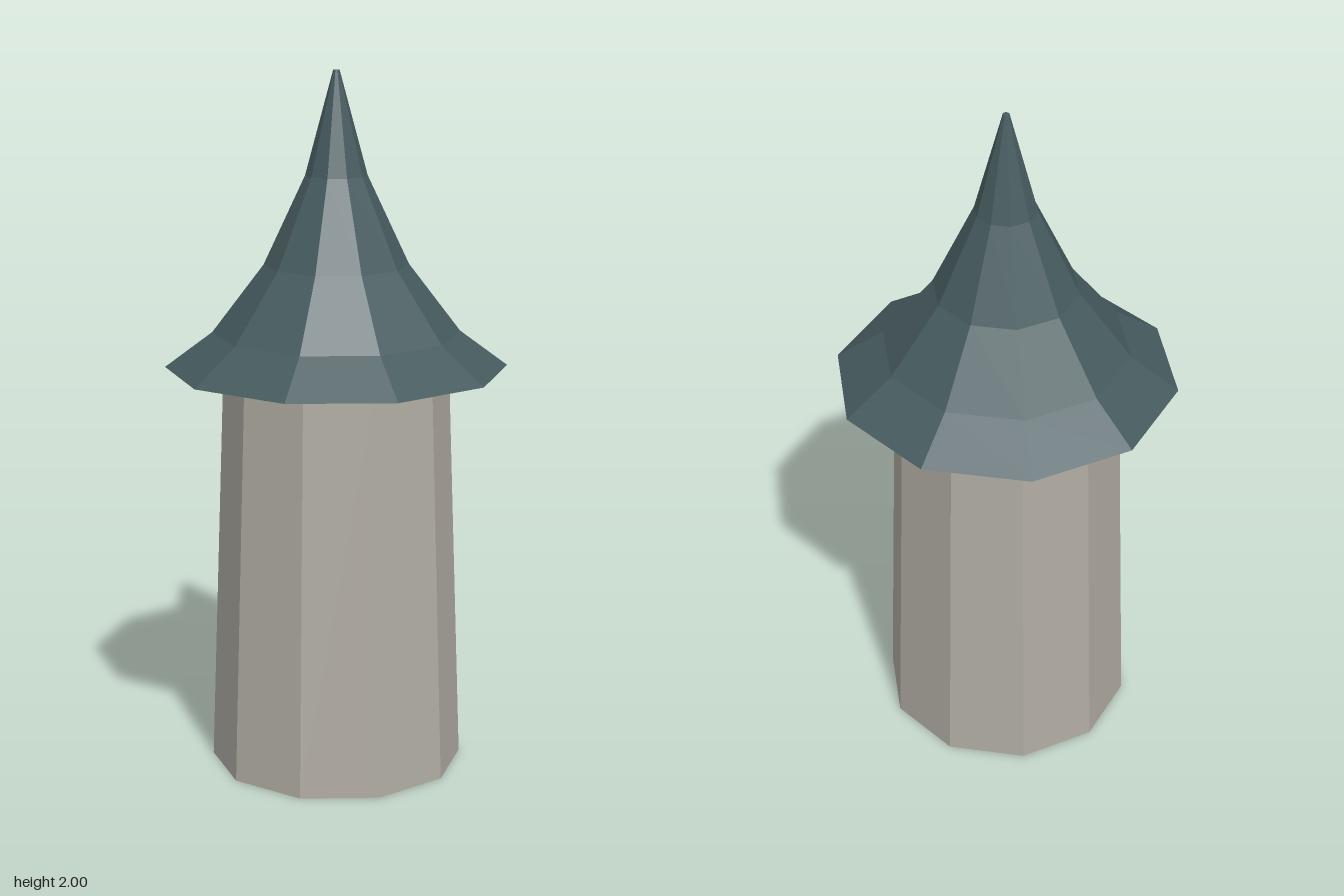
import * as THREE from 'three';

const SIDES = 10;
const EAVES = 1.168;

export function createModel() {
  const stone = new THREE.MeshStandardMaterial({ name: 'stone', color: 0xb0aca2, flatShading: true });
  const slate = new THREE.MeshStandardMaterial({ name: 'slate', color: 0x465b5f, flatShading: true });

  const model = new THREE.Group();
  model.name = 'tower';

  // Tapered ten-sided wall with a corner facing forward
  const wall = new THREE.Mesh(new THREE.CylinderGeometry(0.32, 0.363, EAVES, SIDES), stone);
  wall.name = 'wall';
  wall.position.y = EAVES / 2;
  model.add(wall);

  // Flared roof: flat soffit, wide brim, concave rise to a small blunt tip
  const profile = [
    [0, EAVES], [0.485, EAVES], [0.35, 1.268], [0.204, 1.46],
    [0.087, 1.71], [0.009, 2], [0, 2],
  ].map(([r, y]) => new THREE.Vector2(r, y));
  const roof = new THREE.Mesh(new THREE.LatheGeometry(profile, SIDES), slate);
  roof.name = 'roof';
  model.add(roof);

  return model;
}
